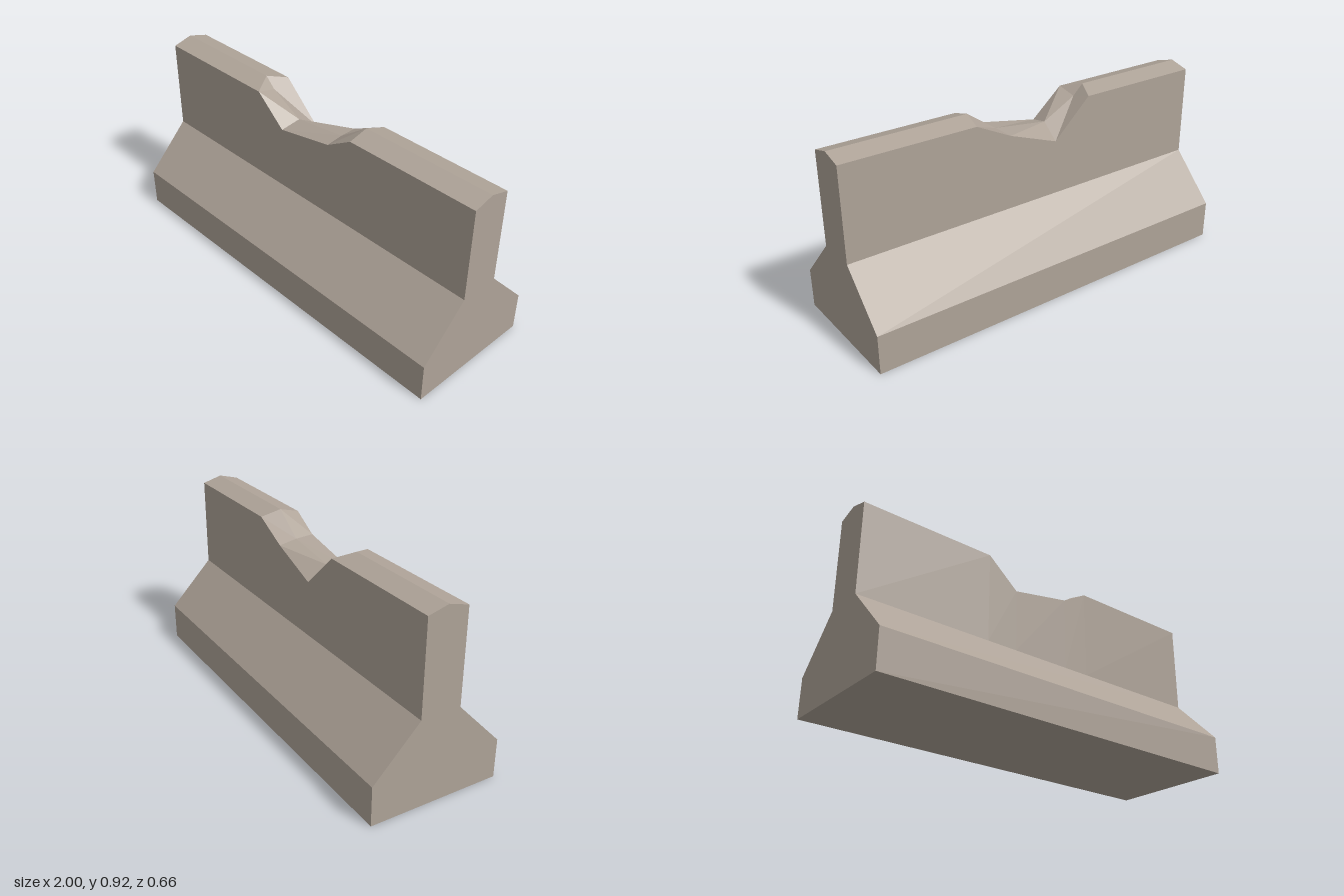
import * as THREE from 'three';

// Top edges of the wall from x = -1 to 1, as [x, y]; the middle dips form the broken notch.
const frontEdge = [[-1, 0.89], [-0.31, 0.89], [-0.31, 0.89], [-0.145, 0.75], [0.17, 0.81], [0.31, 0.89], [1, 0.89]];
const ridge = [[-1, 0.917], [-0.37, 0.917], [-0.315, 0.865], [-0.135, 0.773], [0.155, 0.81], [0.31, 0.917], [1, 0.917]];
const backEdge = [[-1, 0.89], [-0.325, 0.89], [-0.325, 0.89], [-0.125, 0.705], [0.14, 0.80], [0.325, 0.89], [1, 0.89]];
const HALF = 0.1, FOOT = 0.43;

// Upper wall: five-sided cross-sections joined along x, with end caps
function wallGeometry() {
  const sections = ridge.map(([mx, my], i) => {
    const [fx, fy] = frontEdge[i], [bx, by] = backEdge[i];
    return [[fx, FOOT, HALF], [fx, fy, HALF], [mx, my, 0], [bx, by, -HALF], [bx, FOOT, -HALF]]
      .map((p) => new THREE.Vector3(...p));
  });
  const points = [];
  const tri = (a, b, c) => {
    if (new THREE.Triangle(a, b, c).getArea() > 1e-6) points.push(a, b, c);
  };
  for (let i = 0; i < sections.length - 1; i++) {
    const s = sections[i], t = sections[i + 1];
    for (let j = 0; j < 4; j++) {
      tri(s[j], t[j], t[j + 1]);
      tri(s[j], t[j + 1], s[j + 1]);
    }
  }
  const first = sections[0], last = sections[sections.length - 1];
  for (let j = 1; j < 4; j++) {
    tri(first[0], first[j], first[j + 1]);
    tri(last[0], last[j + 1], last[j]);
  }
  const geometry = new THREE.BufferGeometry().setFromPoints(points);
  geometry.computeVertexNormals();
  return geometry;
}

// Wide foot with sloped shoulders
function baseGeometry() {
  const outline = [[-0.328, 0], [0.328, 0], [0.328, 0.193], [HALF, FOOT], [-HALF, FOOT], [-0.328, 0.193]];
  const shape = new THREE.Shape(outline.map(([z, y]) => new THREE.Vector2(z, y)));
  return new THREE.ExtrudeGeometry(shape, { depth: 2, bevelEnabled: false })
    .translate(0, 0, -1)
    .rotateY(Math.PI / 2);
}

export function createModel() {
  const concrete = new THREE.MeshStandardMaterial({ color: 0xaea398, flatShading: true });
  concrete.name = 'concrete';

  const model = new THREE.Group();
  model.name = 'concreteBarrier';
  const add = (name, geometry) => {
    const mesh = new THREE.Mesh(geometry, concrete);
    mesh.name = name;
    model.add(mesh);
  };
  add('slopedBase', baseGeometry());
  add('brokenWall', wallGeometry());
  return model;
}
